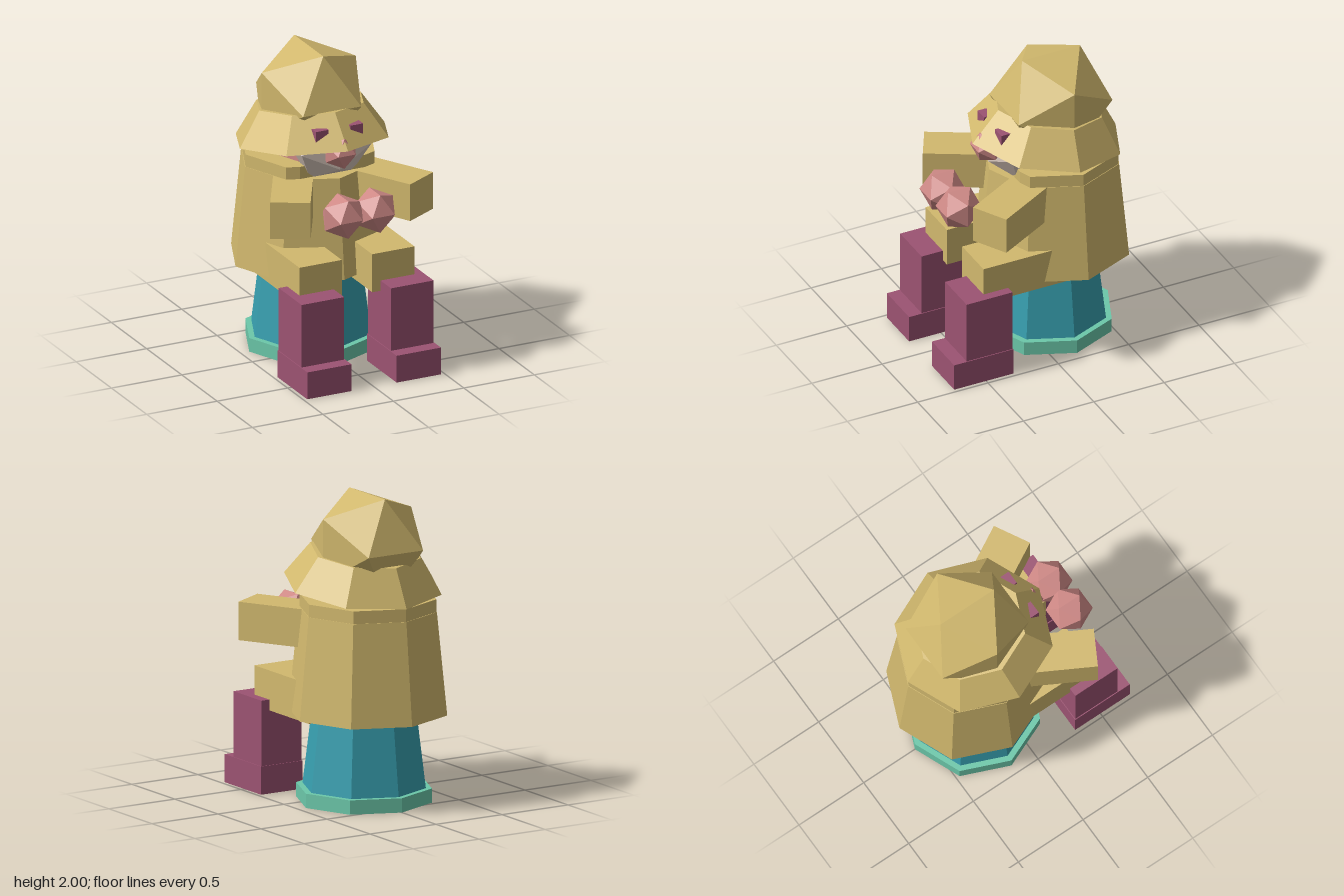
import * as THREE from 'three';

const paint = (name, color) => {
  const m = new THREE.MeshStandardMaterial({ color, flatShading: true });
  m.name = name;
  return m;
};

export function createModel() {
  const group = new THREE.Group();
  const tan = paint('tan cloth', 0xd2b96e);
  const teal = paint('teal seat', 0x38a0b0);
  const mint = paint('mint base', 0x6cc8aa);
  const plum = paint('plum leather', 0x9c5372);
  const pink = paint('pink skin', 0xd08a87);
  const white = paint('off-white beard', 0xdccbc0);

  const add = (name, geometry, material, x, y, z) => {
    const mesh = new THREE.Mesh(geometry, material);
    mesh.name = name;
    mesh.position.set(x, y, z);
    group.add(mesh);
    return mesh;
  };
  // Eight-sided drum standing between two heights
  const drum = (name, material, rTop, rBottom, y0, y1, z) =>
    add(name, new THREE.CylinderGeometry(rTop, rBottom, y1 - y0, 8), material, 0, (y0 + y1) / 2, z);
  // Box given by its ranges along each axis
  const box = (name, material, [x0, x1], [y0, y1], [z0, z1]) =>
    add(name, new THREE.BoxGeometry(Math.abs(x1 - x0), y1 - y0, z1 - z0), material,
      (x0 + x1) / 2, (y0 + y1) / 2, (z0 + z1) / 2);
  // Faceted ball with its top edge running front to back
  const ball = (name, material, r, x, y, z) =>
    add(name, new THREE.IcosahedronGeometry(r, 0).rotateY(Math.PI / 2), material, x, y, z);

  // Stool
  drum('stoolBase', mint, 0.44, 0.44, 0, 0.093, -0.164);
  drum('stoolSeat', teal, 0.325, 0.4, 0.093, 0.7, -0.166);

  // Coat, with a collar cut flat below the beard
  drum('coat', tan, 0.448, 0.515, 0.58, 1.25, -0.208);
  const collar = new THREE.Shape();
  collar.moveTo(0.23, -0.345);
  for (let i = 1; i < 8; i++) {
    const a = (i * Math.PI) / 4;
    collar.lineTo(0.444 * Math.sin(a), -0.444 * Math.cos(a));
  }
  collar.lineTo(-0.23, -0.345);
  const collarGeo = new THREE.ExtrudeGeometry(collar, { depth: 0.083, bevelEnabled: false });
  add('collar', collarGeo.rotateX(-Math.PI / 2), tan, 0, 1.25, -0.208);

  // Head, nose and beard
  drum('head', pink, 0.28, 0.28, 1.2, 1.45, -0.15);
  ball('nose', pink, 0.118, 0, 1.44, 0.245);
  const beard = add('beard', new THREE.IcosahedronGeometry(1, 0), white, 0, 1.43, 0.12);
  beard.scale.set(0.29, 0.225, 0.148);

  // Hat: tilted brim and faceted crown
  const brim = drum('hatBrim', tan, 0.36, 0.513, 1.4035, 1.6285, -0.166);
  brim.rotation.x = -0.139;
  ball('hatCrown', tan, 0.392, 0, 1.667, -0.2);

  for (const [side, s] of [['left', 1], ['right', -1]]) {
    // Eyes sunk into the brim
    box(side + 'Eye', plum, [s * 0.077, s * 0.168], [1.5, 1.595], [0.13, 0.237]);

    // Sleeves spread outward
    const sleeve = add(side + 'Sleeve', new THREE.BoxGeometry(0.256, 0.25, 0.6), tan, s * 0.321, 1.125, 0.208);
    sleeve.rotation.y = s * 0.504;
    ball(side + 'Hand', pink, 0.15, s * 0.113, 1.11, 0.51);

    // Legs and boots
    box(side + 'Thigh', tan, [s * 0.108, s * 0.408], [0.54, 0.8], [-0.15, 0.485]);
    box(side + 'BootShaft', plum, [s * 0.166, s * 0.468], [0.01, 0.61], [0.31, 0.635]);
    box(side + 'BootFoot', plum, [s * 0.16, s * 0.474], [0, 0.183], [0.305, 0.727]);
  }
  return group;
}
